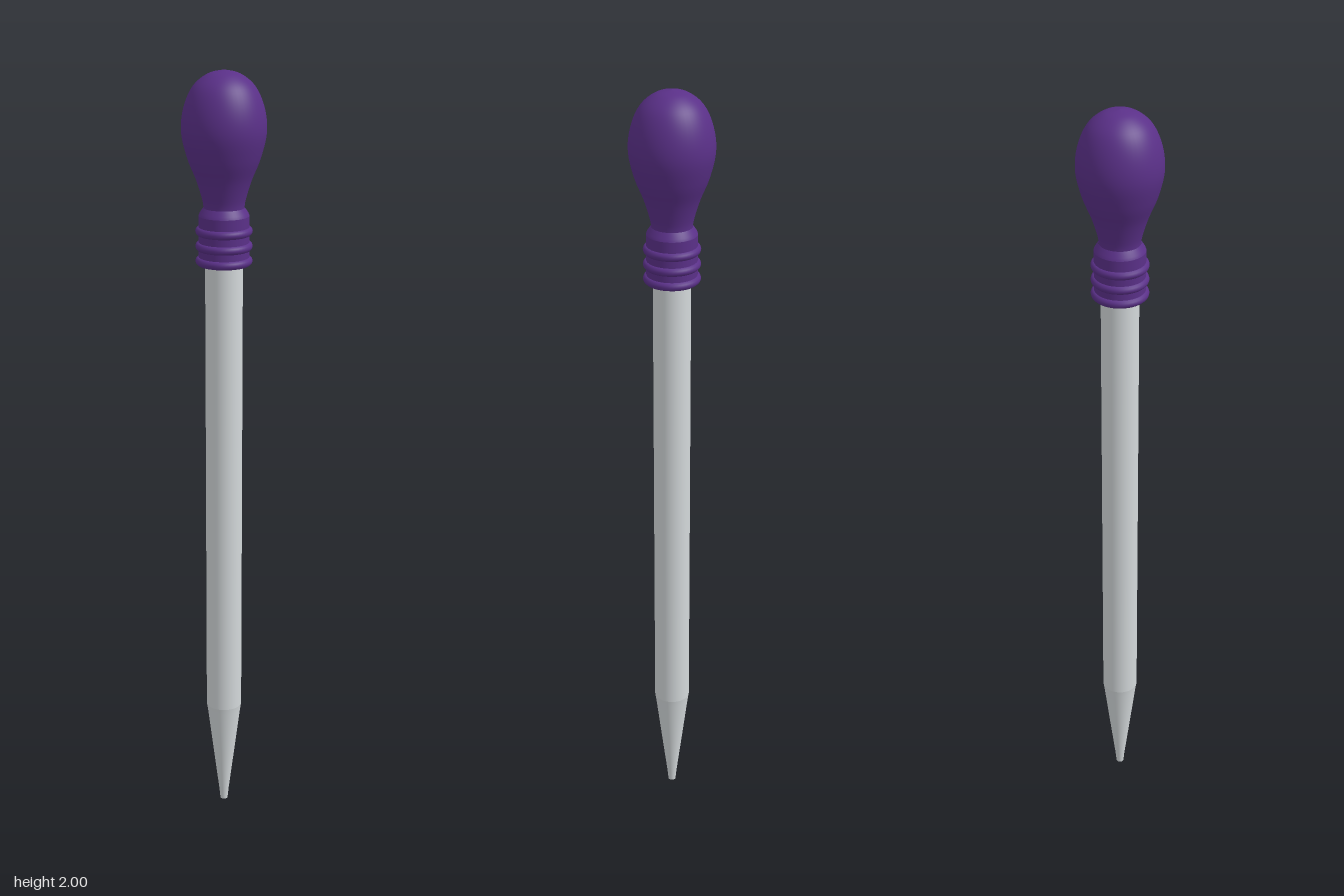
import * as THREE from 'three';

export function createModel() {
  const group = new THREE.Group();
  const rubber = new THREE.MeshStandardMaterial({ color: 0x5a3088 });
  rubber.name = 'purpleRubber';
  const glass = new THREE.MeshStandardMaterial({ color: 0xd3d8da });
  glass.name = 'paleGlass';

  const add = (name, geometry, material, y = 0) => {
    const mesh = new THREE.Mesh(geometry, material);
    mesh.name = name;
    mesh.position.y = y;
    group.add(mesh);
    return mesh;
  };
  const lathe = (points, segments = 48) =>
    new THREE.LatheGeometry(points.map(([r, y]) => new THREE.Vector2(r, y)), segments);

  // Squeeze bulb: a smooth teardrop narrowing to the neck
  const bulbCurve = new THREE.SplineCurve([
    [0.05, 1.66], [0.053, 1.685], [0.068, 1.735], [0.09, 1.79], [0.104, 1.852],
    [0.098, 1.91], [0.076, 1.96], [0.04, 1.99], [0, 2],
  ].map(([r, y]) => new THREE.Vector2(r, y)));
  const bulbPoints = bulbCurve.getPoints(48).map((p) => [Math.max(p.x, 0), Math.min(p.y, 2)]);
  add('bulb', lathe(bulbPoints), rubber);

  // Collar gripping the tube, open underneath around the glass
  add('collar', lathe([[0.044, 1.53], [0.063, 1.53]]), rubber);
  add('collarWall', lathe([[0.063, 1.53], [0.063, 1.648]]), rubber);
  add('collarShoulder', lathe([[0.063, 1.648], [0.06, 1.655], [0.051, 1.668]]), rubber);

  // Rounded grip ribs
  for (const y of [1.535, 1.572, 1.61]) {
    const rib = add('collarRib', new THREE.TorusGeometry(0.06, 0.011, 12, 48), rubber, y);
    rib.rotation.x = Math.PI / 2;
  }

  // Glass tube, tapered tip and hollow bore
  add('tube', lathe([[0.047, 0.3], [0.047, 1.54]]), glass);
  add('taperedTip', lathe([[0.01, 0], [0.013, 0.03], [0.028, 0.15], [0.044, 0.28], [0.047, 0.3]]), glass);
  add('tipRim', lathe([[0.006, 0], [0.01, 0]]), glass);
  add('bore', lathe([[0.04, 1.53], [0.04, 0.3], [0.006, 0]]), glass);

  return group;
}
